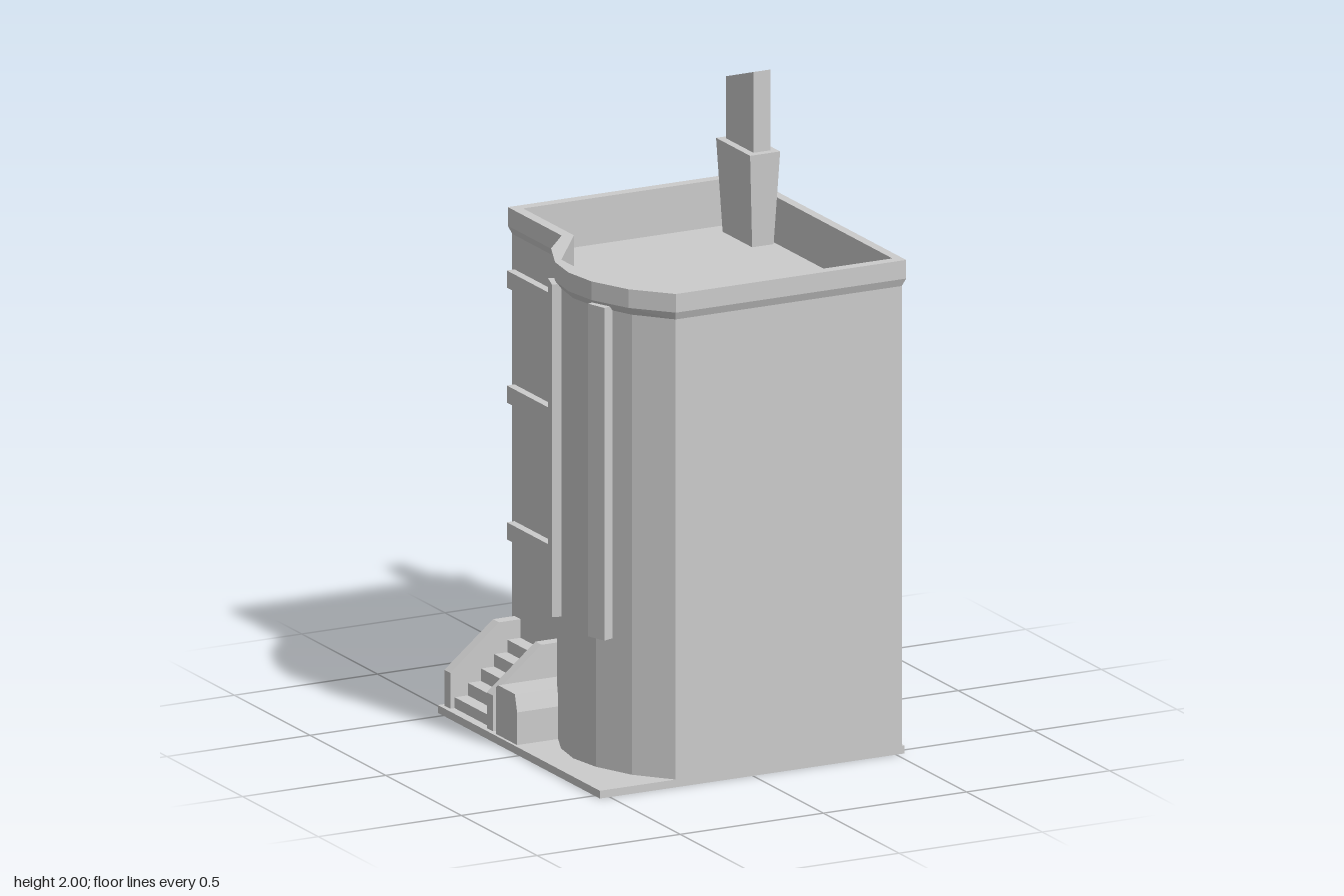
import * as THREE from 'three';

const mat = new THREE.MeshStandardMaterial({ color: 0xcccccc, flatShading: true, side: THREE.DoubleSide });

// Matching plan outlines as [x, z]: wall face, cornice edge and inside of the parapet
const wall = [[0.52, -0.535], [0.52, 0.535], [-0.27, 0.535], [-0.365, 0.425], [-0.422, 0.295],
  [-0.44, 0.18], [-0.422, 0.065], [-0.365, -0.07], [-0.275, -0.185], [-0.275, -0.535]];
const cornice = [[0.53, -0.545], [0.53, 0.545], [-0.275, 0.545], [-0.38, 0.43], [-0.44, 0.3],
  [-0.457, 0.18], [-0.44, 0.06], [-0.38, -0.08], [-0.285, -0.19], [-0.285, -0.545]];
const inner = [[0.5, -0.51], [0.5, 0.51], [-0.26, 0.51], [-0.335, 0.41], [-0.41, 0.31],
  [-0.41, 0.18], [-0.41, 0.045], [-0.33, -0.065], [-0.25, -0.175], [-0.25, -0.51]];

const shapeOf = pts => new THREE.Shape(pts.map(p => new THREE.Vector2(p[0], p[1])));
const extrude = (pts, depth) => new THREE.ExtrudeGeometry(shapeOf(pts), { depth, bevelEnabled: false });

// Plan outline raised from y0 to y1
function prism(plan, y0, y1) {
  return extrude(plan.map(([x, z]) => [x, -z]), y1 - y0).rotateX(-Math.PI / 2).translate(0, y0, 0);
}

// Skin joining closed rings of equal length; each ring is [outline, height]
function loft(rings) {
  const pos = [];
  for (let r = 0; r < rings.length - 1; r++) {
    const [lo, y0] = rings[r], [hi, y1] = rings[r + 1];
    lo.forEach((p, i) => {
      const j = (i + 1) % lo.length;
      const a = [p[0], y0, p[1]], b = [lo[j][0], y0, lo[j][1]];
      const c = [hi[j][0], y1, hi[j][1]], d = [hi[i][0], y1, hi[i][1]];
      pos.push(...a, ...d, ...c, ...a, ...c, ...b);
    });
  }
  const g = new THREE.BufferGeometry();
  g.setAttribute('position', new THREE.Float32BufferAttribute(pos, 3));
  g.computeVertexNormals();
  return g;
}

// Box given by its limits
function box(x0, x1, y0, y1, z0, z1) {
  return new THREE.BoxGeometry(x1 - x0, y1 - y0, z1 - z0)
    .translate((x0 + x1) / 2, (y0 + y1) / 2, (z0 + z1) / 2);
}

export function createModel() {
  const model = new THREE.Group();
  model.name = 'building';
  const add = (name, geometry, parent = model) => {
    const m = new THREE.Mesh(geometry, mat);
    m.name = name;
    parent.add(m);
    return m;
  };

  add('baseSlab', box(-0.535, 0.53, 0, 0.025, -0.535, 0.535));

  // Lower walls with a doorway notched into the side, upper walls above it
  const doorway = [[0.52, -0.46], [0.27, -0.46], [0.27, -0.25], [0.52, -0.25]];
  add('lowerWalls', prism([wall[0], ...doorway, ...wall.slice(1)], 0.025, 0.41));
  add('upperWalls', prism(wall, 0.41, 1.44));

  // Parapet with flared cornice around the sunken roof
  add('parapet', loft([[wall, 1.44], [wall, 1.505], [cornice, 1.53], [cornice, 1.59], [inner, 1.59], [inner, 1.44]]));

  // Flared chimney with a slant-topped flue
  const rect = (x0, x1, z0, z1) => [[x1, z0], [x1, z1], [x0, z1], [x0, z0]];
  const chimney = new THREE.Group();
  chimney.name = 'chimney';
  model.add(chimney);
  const flare = rect(0.4, 0.505, -0.465, -0.24), foot = rect(0.415, 0.49, -0.45, -0.255);
  const core = rect(0.425, 0.485, -0.445, -0.265);
  add('chimneyBase', loft([[foot, 1.44], [flare, 1.74], [core, 1.74]]), chimney);
  const flue = box(0.425, 0.485, 1.74, 2, -0.445, -0.265);
  const fp = flue.attributes.position;
  for (let i = 0; i < fp.count; i++) {
    if (fp.getY(i) > 1.9 && fp.getZ(i) < -0.4) fp.setY(i, 1.94);
  }
  flue.computeVertexNormals();
  add('chimneyFlue', flue, chimney);

  // Window ledges over the entrance
  for (const y of [0.53, 0.97, 1.34]) add('ledge', box(-0.302, -0.26, y, y + 0.055, -0.52, -0.2));

  // Vertical strips on the curved bay
  for (const s of [-1, 1]) {
    const strip = add('bayStrip', new THREE.BoxGeometry(0.05, 1.07, 0.07));
    strip.position.set(-0.417, 0.985, 0.18 + s * 0.145);
    strip.rotation.y = s * 0.32;
  }

  // Entrance stairs between two sloping side walls
  const stairs = new THREE.Group();
  stairs.name = 'stairs';
  model.add(stairs);
  const cheek = [[-0.52, 0.02], [-0.27, 0.02], [-0.27, 0.28], [-0.35, 0.28], [-0.52, 0.14]];
  for (const z of [-0.52, -0.24]) add('stairWall', extrude(cheek, 0.04).translate(0, 0, z), stairs);
  for (let i = 0; i < 5; i++) {
    add('step', box(-0.505 + i * 0.046, -0.27, 0.02 + i * 0.04, 0.06 + i * 0.04, -0.48, -0.24), stairs);
  }

  // Low storage box beside the stairs, profile as [-z, y]
  const profile = [[0.17, 0.02], [0.17, 0.175], [0.155, 0.185], [0.045, 0.185], [0.03, 0.13], [0.03, 0.02]];
  add('storageBox', extrude(profile, 0.225).rotateY(Math.PI / 2).translate(-0.525, 0, 0));

  return model;
}
